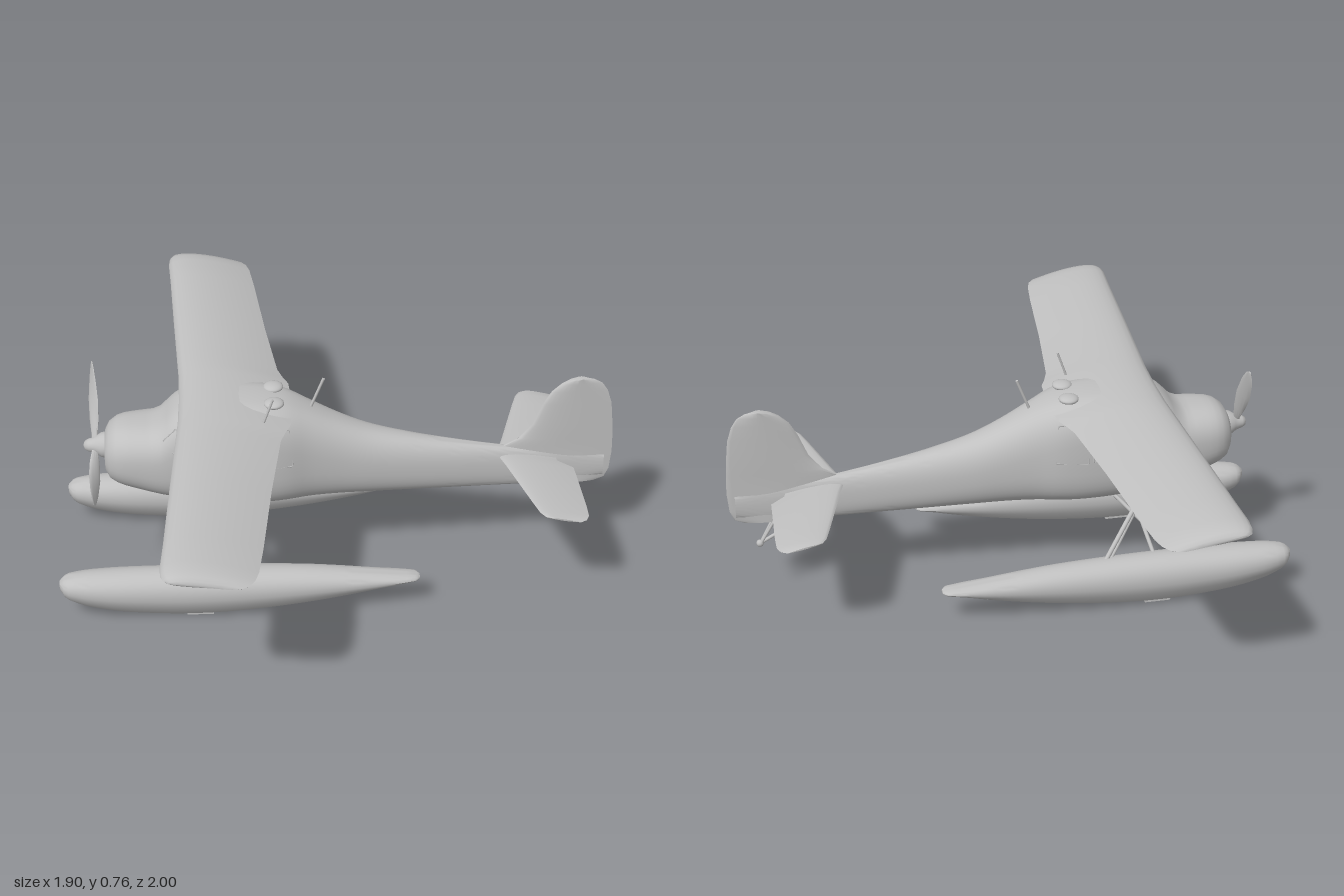
import * as THREE from 'three';
import { toCreasedNormals } from 'three/addons/utils/BufferGeometryUtils.js';

const grey = new THREE.MeshStandardMaterial({ color: 0xc0c0c0, side: THREE.DoubleSide });
grey.name = 'plainGrey';
const V = (x, y, z) => new THREE.Vector3(x, y, z);

function add(parent, name, geometry) {
  const mesh = new THREE.Mesh(geometry, grey);
  mesh.name = name;
  parent.add(mesh);
  return mesh;
}

// Skin a list of closed rings and close both ends
function loft(rings, crease = 0.7) {
  const n = rings[0].length, pos = [], index = [];
  rings.forEach(r => r.forEach(p => pos.push(p.x, p.y, p.z)));
  for (let i = 0; i < rings.length - 1; i++) for (let j = 0; j < n; j++) {
    const a = i * n + j, b = i * n + (j + 1) % n;
    index.push(a, b, a + n, b, b + n, a + n);
  }
  [0, rings.length - 1].forEach(i => {
    const c = V(0, 0, 0);
    rings[i].forEach(p => c.addScaledVector(p, 1 / n));
    const k = pos.length / 3;
    pos.push(c.x, c.y, c.z);
    for (let j = 0; j < n; j++) {
      const a = i * n + j, b = i * n + (j + 1) % n;
      if (i) index.push(a, b, k); else index.push(b, a, k);
    }
  });
  const g = new THREE.BufferGeometry();
  g.setAttribute('position', new THREE.Float32BufferAttribute(pos, 3));
  g.setIndex(index);
  return toCreasedNormals(g, crease);
}

// Smooth interpolation through rows whose first number is the station
function spline(rows) {
  const size = rows[0].length - 1;
  const f = new THREE.CubicInterpolant(rows.map(r => r[0]), rows.flatMap(r => r.slice(1)), size);
  return t => Array.from(f.evaluate(t));
}

// Aerofoil surface: rows are [station, leading x, trailing x, upper bulge, lower bulge]
function foil(rows, place) {
  return loft(rows.map(([s, le, te, up, low]) => {
    const ring = [], N = 14;
    for (let i = 0; i < 2 * N; i++) {
      const t = (1 - Math.cos(Math.PI * i / N)) / 2;
      const bulge = Math.sqrt(t) * (1 - t) / 0.385 + 0.06 * t;
      ring.push(place(le + (te - le) * t, (i <= N ? up : -low) * bulge, s, t));
    }
    return ring;
  }), 0.9);
}
const bothSides = rows => [...rows.slice(1).reverse().map(r => [-r[0], ...r.slice(1)]), ...rows];

function rod(parent, name, a, b, r = 0.007, flat = 1) {
  const m = add(parent, name, new THREE.CylinderGeometry(r, r, a.distanceTo(b), 10));
  m.position.copy(a).lerp(b, 0.5);
  m.quaternion.setFromUnitVectors(V(0, 1, 0), b.clone().sub(a).normalize());
  m.scale.x = flat;
  return m;
}

// Fuselage stations: x, top, bottom, half width, squareness
const body = spline([
  [-0.785, 0.55, 0.42, 0.075, 2.2], [-0.77, 0.577, 0.395, 0.1, 2.3], [-0.74, 0.595, 0.38, 0.118, 2.4],
  [-0.67, 0.603, 0.36, 0.132, 2.6], [-0.6, 0.612, 0.342, 0.14, 2.8], [-0.55, 0.662, 0.33, 0.144, 3],
  [-0.5, 0.688, 0.32, 0.147, 3.2], [-0.4, 0.695, 0.308, 0.149, 3.5], [-0.25, 0.69, 0.302, 0.147, 3.4],
  [-0.17, 0.675, 0.3, 0.136, 3], [-0.1, 0.645, 0.3, 0.116, 2.7], [0, 0.595, 0.3, 0.097, 2.5],
  [0.1, 0.552, 0.299, 0.084, 2.4], [0.25, 0.512, 0.298, 0.065, 2.4], [0.4, 0.483, 0.297, 0.047, 2.4],
  [0.6, 0.452, 0.297, 0.026, 2.4], [0.8, 0.43, 0.3, 0.013, 2.2], [0.92, 0.41, 0.325, 0.008, 2]]);

function fuselageRing(x) {
  const [top, bottom, w, n] = body(x), ring = [];
  const pw = v => Math.sign(v) * Math.abs(v) ** (2 / n);
  for (let i = 0; i < 48; i++) {
    const a = i / 48 * Math.PI * 2;
    ring.push(V(x, (top + bottom) / 2 + (top - bottom) / 2 * pw(Math.sin(a)), w * pw(Math.cos(a))));
  }
  return ring;
}
function onSide(x, y, side) {
  const [top, bottom, w, n] = body(x);
  const d = Math.min(1, Math.abs((y - (top + bottom) / 2) / ((top - bottom) / 2)));
  return V(x, y, side * w * (1 - d ** n) ** (1 / n));
}

// Float stations: x, top, bottom, half width
const pontoon = spline([
  [-0.95, 0.145, 0.112, 0.014], [-0.935, 0.158, 0.088, 0.038], [-0.9, 0.168, 0.066, 0.052],
  [-0.8, 0.177, 0.036, 0.066], [-0.6, 0.181, 0.012, 0.071], [-0.45, 0.181, 0.009, 0.071],
  [-0.3, 0.178, 0.018, 0.068], [-0.1, 0.169, 0.042, 0.06], [0.1, 0.149, 0.078, 0.046],
  [0.22, 0.136, 0.106, 0.035], [0.255, 0.132, 0.113, 0.027], [0.267, 0.127, 0.117, 0.012]]);

function pontoonRing(x) {
  const [top, bottom, w] = pontoon(x), chine = bottom + (top - bottom) * 0.5, ring = [];
  for (let i = 0; i <= 16; i++) {
    const a = Math.PI * i / 16;
    ring.push(V(x, chine + (top - chine) * Math.sin(a) ** 0.75, w * Math.cos(a)));
  }
  [[-0.88, 0.3], [-0.42, 0.03], [0, 0], [0.42, 0.03], [0.88, 0.3]].forEach(([z, h]) =>
    ring.push(V(x, bottom + (top - bottom) * h, w * z)));
  return ring;
}
const stations = (a, b, n) => Array.from({ length: n + 1 }, (_, i) => a + (b - a) * i / n);

export function createModel() {
  const plane = new THREE.Group();
  plane.name = 'floatplane';
  add(plane, 'fuselage', loft([-0.785, -0.78, ...stations(-0.77, 0.92, 68)].map(fuselageRing)));

  // High wing, flying surfaces of the tail
  const wing = bothSides([
    [0, -0.53, -0.15, 0.04, 0.013], [0.13, -0.532, -0.16, 0.04, 0.013], [0.17, -0.534, -0.178, 0.04, 0.013],
    [0.22, -0.537, -0.195, 0.039, 0.013], [0.5, -0.553, -0.232, 0.038, 0.013], [0.8, -0.569, -0.264, 0.036, 0.011],
    [0.92, -0.577, -0.28, 0.034, 0.01], [0.96, -0.575, -0.292, 0.03, 0.009], [0.985, -0.565, -0.31, 0.023, 0.008],
    [0.996, -0.55, -0.33, 0.014, 0.006], [1, -0.53, -0.35, 0.006, 0.003]]);
  add(plane, 'wing', foil(wing, (x, d, s, t) => V(x, 0.673 - 0.028 * t + d, s)));
  const stabilizer = bothSides([
    [0, 0.555, 0.75, 0.011, 0.011], [0.03, 0.557, 0.755, 0.011, 0.011], [0.075, 0.572, 0.805, 0.011, 0.011],
    [0.3, 0.637, 0.816, 0.009, 0.009], [0.355, 0.654, 0.816, 0.008, 0.008], [0.38, 0.67, 0.805, 0.006, 0.006],
    [0.39, 0.695, 0.785, 0.003, 0.003]]);
  add(plane, 'tailplane', foil(stabilizer, (x, d, s, t) => V(x, 0.424 - 0.018 * t + d, s)));
  const fin = [[0.3, 0.76, 0.89], [0.315, 0.72, 0.925], [0.35, 0.66, 0.94], [0.42, 0.6, 0.946], [0.455, 0.57, 0.945],
    [0.485, 0.622, 0.944], [0.54, 0.665, 0.94], [0.62, 0.697, 0.931], [0.67, 0.725, 0.915], [0.7, 0.757, 0.895],
    [0.715, 0.785, 0.868], [0.72, 0.81, 0.845]];
  add(plane, 'finAndRudder', foil(fin.map(r => [...r, 0.011, 0.011]), (x, d, s) => V(x, s, d)));

  // Propeller: spinner and two blades
  const spinner = add(plane, 'spinner', new THREE.LatheGeometry([[0.045, 0], [0.042, 0.015], [0.032, 0.03],
    [0.025, 0.045], [0.022, 0.058], [0.015, 0.07], [0, 0.076]].map(p => new THREE.Vector2(...p)), 24));
  spinner.rotation.z = Math.PI / 2;
  spinner.position.set(-0.784, 0.505, 0);
  [[0.255, -0.125], [-0.1, 0.215]].forEach(([dy, dz]) => {
    const len = Math.hypot(dy, dz), rings = [];
    [[0, 0.01], [0.12, 0.012], [0.3, 0.021], [0.55, 0.029], [0.8, 0.026], [0.94, 0.017], [1, 0.005]].forEach(([t, w]) => {
      const twist = 1.05 - 0.75 * t, ring = [];
      for (let i = 0; i < 12; i++) {
        const a = i / 6 * Math.PI, u = w * Math.cos(a), v = (0.008 - 0.006 * t) * Math.sin(a);
        ring.push(V(u * Math.sin(twist) + v * Math.cos(twist), t * len, u * Math.cos(twist) - v * Math.sin(twist)));
      }
      rings.push(ring);
    });
    const blade = add(plane, 'propellerBlade', loft(rings, 1));
    blade.position.set(-0.82, 0.505, 0);
    blade.rotation.x = Math.atan2(dz, dy);
  });

  // Window frames, floats and struts on both sides
  const panes = [
    [[-0.585, 0.59], [-0.54, 0.635], [-0.48, 0.625], [-0.485, 0.54], [-0.55, 0.555]],
    [[-0.39, 0.625], [-0.285, 0.625], [-0.28, 0.485], [-0.39, 0.495]],
    [[-0.265, 0.625], [-0.165, 0.62], [-0.155, 0.485], [-0.265, 0.48]]];
  const floatX = [-0.95, -0.945, -0.935, ...stations(-0.92, 0.25, 44), 0.258, 0.263, 0.267];
  [1, -1].forEach(s => {
    const P = (x, y, z) => V(x, y, s * z);
    panes.forEach(pane => {
      const path = new THREE.CurvePath();
      pane.forEach(([x, y], i) => {
        const [u, v] = pane[(i + 1) % pane.length];
        path.add(new THREE.LineCurve3(onSide(x, y, s), onSide(u, v, s)));
      });
      add(plane, 'windowFrame', new THREE.TubeGeometry(path, 60, 0.0028, 5, true));
    });

    add(plane, 'float', loft(floatX.map(pontoonRing), 0.6)).position.z = s * 0.282;
    const pad = add(plane, 'keelPad', new THREE.BoxGeometry(0.09, 0.018, 0.04));
    pad.position.set(-0.48, 0.009, s * 0.282);
    [-0.62, 0.09].forEach(x => {
      const cleat = add(plane, 'cleat', new THREE.BoxGeometry(0.05, 0.01, 0.008));
      cleat.position.set(x, pontoon(x)[1] + 0.002, s * 0.282);
    });

    // Wing struts meet the float legs at a joint beside the belly
    const joint = P(-0.43, 0.328, 0.175);
    rod(plane, 'wingStrut', P(-0.465, 0.625, 0.71), joint, 0.009);
    rod(plane, 'wingStrut', P(-0.415, 0.615, 0.7), P(-0.415, 0.328, 0.175), 0.009);
    add(plane, 'strutBracket', new THREE.BoxGeometry(0.08, 0.035, 0.03)).position.copy(P(-0.44, 0.64, 0.715));
    rod(plane, 'jointBar', P(-0.43, 0.35, 0.1), joint, 0.009);
    rod(plane, 'frontLeg', joint, P(-0.56, 0.17, 0.272), 0.008);
    rod(plane, 'rearLeg', joint, P(-0.3, 0.17, 0.272), 0.008);
    rod(plane, 'innerFrontLeg', P(-0.37, 0.32, 0.1), P(-0.54, 0.17, 0.262));
    rod(plane, 'innerRearLeg', P(-0.48, 0.33, 0.1), P(-0.32, 0.17, 0.262));
    rod(plane, 'braceLeg', P(-0.43, 0.32, 0.1), P(-0.47, 0.17, 0.262));

    const dome = add(plane, 'roofDome', new THREE.SphereGeometry(0.034, 24, 12));
    dome.scale.y = 0.4;
    dome.position.set(-0.213, 0.686, s * 0.052);
    rod(plane, 'tailStrut', P(0.79, 0.31, 0.012), P(0.84, 0.22, 0.004), 0.005);
  });

  // Aerials, belly fitting and tail skid
  rod(plane, 'aerial', V(-0.25, 0.67, 0.145), V(-0.218, 0.76, 0.145), 0.004);
  rod(plane, 'aerial', V(-0.095, 0.62, 0), V(-0.045, 0.745, 0), 0.005);
  const vent = add(plane, 'bellyFitting', new THREE.CylinderGeometry(0.026, 0.022, 0.025, 16));
  vent.position.set(-0.28, 0.298, 0);
  rod(plane, 'tailSkid', V(0.68, 0.305, 0), V(0.845, 0.215, 0), 0.006);
  add(plane, 'skidFoot', new THREE.SphereGeometry(0.013, 12, 8)).position.set(0.845, 0.215, 0);
  return plane;
}
